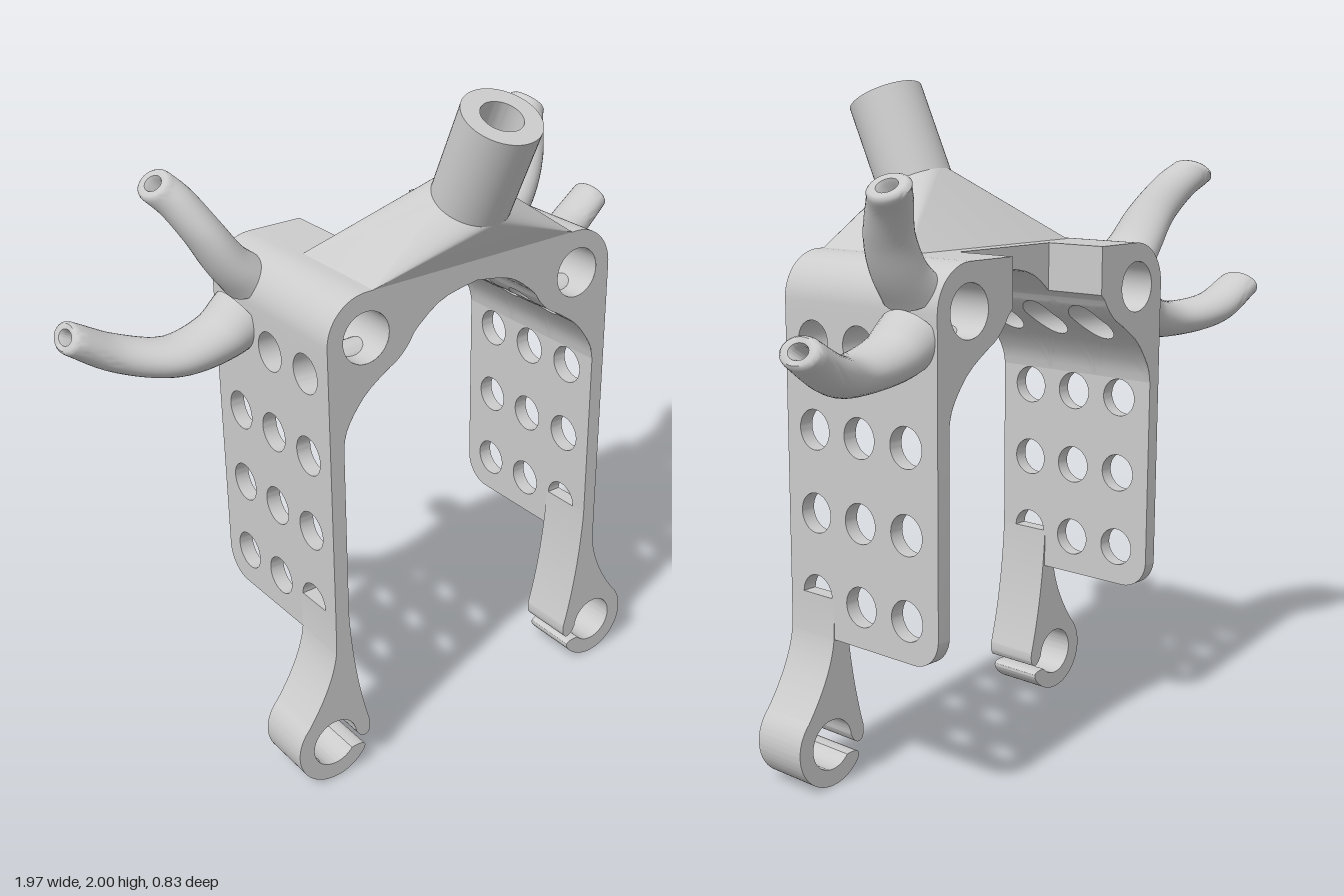
import * as THREE from 'three';
import { toCreasedNormals } from 'three/addons/utils/BufferGeometryUtils.js';

const V = (x, y, z) => new THREE.Vector3(x, y, z);
const V2 = (x, y) => new THREE.Vector2(x, y);
const FRONT = 0.22, BACK = -0.355, NOTCH = -0.16, NOTCH_X = 0.2, TOP = 1.53;
const BAND_LOW = 1.1, BAND_HIGH = 1.36;

// Underside of the arch, from the plate's inner face up to the crown
const inner = new THREE.SplineCurve([
  [0.455, 1.1], [0.44, 1.155], [0.386, 1.23], [0.32, 1.28], [0.27, 1.31],
  [0.235, 1.345], [0.205, 1.385], [0.12, 1.445], [0, 1.47],
].map(p => V2(...p))).getPoints(64);

function lookup(value, key, out) {
  for (let i = 1; i < inner.length; i++) {
    const a = inner[i - 1], b = inner[i];
    if ((a[key] - value) * (b[key] - value) <= 0 && a[key] !== b[key]) {
      return a[out] + (b[out] - a[out]) * (value - a[key]) / (b[key] - a[key]);
    }
  }
  return inner[inner.length - 1][out];
}
const xIn = y => lookup(y, 'y', 'x');
const yIn = x => lookup(Math.abs(x), 'x', 'y');

// Surface through rows of equally many points
function loft(rows) {
  const n = rows[0].length, index = [];
  for (let r = 0; r < rows.length - 1; r++) {
    for (let i = 0; i < n - 1; i++) {
      const a = r * n + i, b = a + n;
      index.push(a, a + 1, b + 1, a, b + 1, b);
    }
  }
  const geo = new THREE.BufferGeometry().setFromPoints(rows.flat());
  geo.setIndex(index);
  return geo;
}

// Rows of a rectangle (u, v) with a round hole, from the hole's rim outward
function holedRows(u0, u1, v0, v1, cu, cv, r, f, n = 12, steps = 6) {
  const corners = [[u0, v0], [u1, v0], [u1, v1], [u0, v1], [u0, v0]], edge = [];
  for (let s = 0; s < 4; s++) {
    for (let i = 0; i < n; i++) {
      const t = i / n, a = corners[s], b = corners[s + 1];
      edge.push([a[0] + (b[0] - a[0]) * t, a[1] + (b[1] - a[1]) * t]);
    }
  }
  edge.push(edge[0]);
  return Array.from({ length: steps + 1 }, (_, k) => edge.map(([u, v]) => {
    const ang = Math.atan2(v - cv, u - cu), t = k / steps;
    return f((cu + r * Math.cos(ang)) * (1 - t) + u * t, (cv + r * Math.sin(ang)) * (1 - t) + v * t);
  }));
}

const wall = (pts, z0, z1) => loft([pts.map(p => V(p.x, p.y, z0)), pts.map(p => V(p.x, p.y, z1))]);

function mirrored(source) {
  const geo = source.index ? source.toNonIndexed() : source.clone();
  geo.scale(-1, 1, 1);
  const p = geo.attributes.position, a = V(0, 0, 0), b = V(0, 0, 0);
  for (let i = 0; i < p.count; i += 3) {
    a.fromBufferAttribute(p, i + 1);
    b.fromBufferAttribute(p, i + 2);
    p.setXYZ(i + 1, b.x, b.y, b.z);
    p.setXYZ(i + 2, a.x, a.y, a.z);
  }
  return geo;
}

function circleHole(shape, x, y, r) {
  const hole = new THREE.Path();
  hole.absarc(x, y, r, 0, Math.PI * 2, true);
  shape.holes.push(hole);
}

// Tapering oval arm with a socket in its tip; each point is [x, y, z, half thickness, half width]
function hook(points) {
  const path = new THREE.CatmullRomCurve3(points.map(p => V(p[0], p[1], p[2])));
  const size = new THREE.CatmullRomCurve3(points.map(p => V(p[3], p[4], 0)));
  const section = (t, scale, shift) => {
    const c = path.getPoint(t), s = size.getPoint(t), d = path.getTangent(t);
    const l = Math.hypot(d.x, d.y), tx = d.x / l, ty = d.y / l;
    return Array.from({ length: 33 }, (_, i) => {
      const a = i / 32 * Math.PI * 2, p = s.x * scale * Math.cos(a), q = s.y * scale * Math.sin(a);
      return V(c.x - ty * p + tx * shift, c.y + tx * p + ty * shift, c.z + q);
    });
  };
  const rows = Array.from({ length: 25 }, (_, i) => section(i / 24, 1, 0));
  rows.push(section(1, 0.95, 0.008), section(1, 0.82, 0.014), section(1, 0.5, 0.012),
    section(1, 0.4, 0), section(1, 0.38, -0.07), section(1, 0, -0.08));
  return loft(rows);
}

export function createModel() {
  const group = new THREE.Group();
  const material = new THREE.MeshStandardMaterial({ color: 0xcccccc, side: THREE.DoubleSide });
  const add = (name, geo, crease = 0.6) => {
    const mesh = new THREE.Mesh(toCreasedNormals(geo, crease), material);
    mesh.name = name;
    group.add(mesh);
  };
  const pair = (name, geo, crease) => {
    add(name + 'Left', geo, crease);
    add(name + 'Right', mirrored(geo), crease);
  };

  // Front and back faces of the arch, with the shoulder bores
  const archFace = (x0, z) => {
    const s = new THREE.Shape();
    s.moveTo(x0, TOP);
    s.lineTo(0.37, TOP);
    s.absarc(0.37, 1.4, 0.13, Math.PI / 2, 0, true);
    inner.filter(p => p.x > x0).forEach((p, i) => (i || s.lineTo(0.5, BAND_LOW), s.lineTo(p.x, p.y)));
    s.lineTo(x0, yIn(x0));
    circleHole(s, 0.375, 1.4, 0.075);
    return new THREE.ShapeGeometry(s, 24).translate(0, 0, z);
  };
  pair('archFront', archFace(0, FRONT));
  pair('archBack', archFace(NOTCH_X, BACK).scale(1, 1, 1));
  const notch = new THREE.Shape([V2(0, TOP), V2(NOTCH_X, TOP), V2(NOTCH_X, yIn(NOTCH_X)),
    ...inner.filter(p => p.x < NOTCH_X)]);
  pair('notchBack', new THREE.ShapeGeometry(notch).translate(0, 0, NOTCH));
  pair('notchSide', wall([V2(NOTCH_X, TOP), V2(NOTCH_X, yIn(NOTCH_X))], NOTCH, BACK));
  add('crownTop', wall([V2(-NOTCH_X, TOP), V2(NOTCH_X, TOP)], NOTCH, -0.11));

  // Shoulder outside, inside and bore
  const arc = Array.from({ length: 17 }, (_, i) => {
    const a = i / 16 * Math.PI / 2;
    return V2(0.37 + 0.13 * Math.cos(a), 1.4 + 0.13 * Math.sin(a));
  });
  pair('shoulderOuter', wall([V2(0.5, BAND_HIGH), ...arc, V2(NOTCH_X, TOP)], FRONT, BACK));
  pair('shoulderInner', wall([V2(xIn(BAND_HIGH), BAND_HIGH),
    ...inner.filter(p => p.y > BAND_HIGH && p.x > NOTCH_X), V2(NOTCH_X, yIn(NOTCH_X))], FRONT, BACK));
  const bore = new THREE.CylinderGeometry(0.075, 0.075, FRONT - BACK, 40, 1, true);
  pair('shoulderBore', bore.rotateX(Math.PI / 2).translate(0.375, 1.4, (FRONT + BACK) / 2));

  // Top row of side holes, running through the curved shoulder
  const cells = [FRONT, 0.0225, -0.1525, BACK], holeZ = [0.11, -0.065, -0.24];
  holeZ.forEach((z, i) => {
    const rows = f => holedRows(cells[i + 1], cells[i], BAND_LOW, BAND_HIGH, z, 1.29, 0.058, f);
    const outside = rows((u, v) => V(0.5, v, u)), inside = rows((u, v) => V(xIn(v), v, u));
    pair('shoulderSkinOuter' + i, loft(outside));
    pair('shoulderSkinInner' + i, loft(inside));
    pair('shoulderHole' + i, loft([outside[0], inside[0]]));
  });

  // Perforated side plates
  const plate = new THREE.Shape();
  plate.moveTo(-FRONT, BAND_LOW);
  plate.lineTo(-FRONT, 0.44);
  plate.lineTo(-BACK - 0.09, 0.44);
  plate.absarc(-BACK - 0.09, 0.53, 0.09, -Math.PI / 2, 0, false);
  plate.lineTo(-BACK, BAND_LOW);
  for (const y of [0.56, 0.8, 1.04]) for (const z of holeZ) circleHole(plate, -z, y, 0.058);
  const plateGeo = new THREE.ExtrudeGeometry(plate, { depth: 0.045, bevelEnabled: false, curveSegments: 20 });
  pair('sidePlate', plateGeo.rotateY(Math.PI / 2).translate(0.455, 0, 0));

  // Legs ending in open clip rings
  const cx = 0.515, cy = 0.127, deg = Math.PI / 180;
  const leg = new THREE.Shape();
  leg.moveTo(0.455, 0.56);
  leg.lineTo(0.5, 0.56);
  leg.lineTo(0.501, 0.45);
  leg.bezierCurveTo(0.508, 0.37, 0.55, 0.29, cx + 0.126 * Math.cos(45 * deg), cy + 0.126 * Math.sin(45 * deg));
  leg.absarc(cx, cy, 0.126, 45 * deg, -140 * deg, true);
  leg.quadraticCurveTo(0.4, 0.07, 0.418, 0.077);
  leg.quadraticCurveTo(0.432, 0.082, cx + 0.075 * Math.cos(-140 * deg), cy + 0.075 * Math.sin(-140 * deg));
  leg.absarc(cx, cy, 0.075, -140 * deg, 175 * deg, false);
  leg.quadraticCurveTo(0.425, 0.1, 0.405, 0.104);
  leg.quadraticCurveTo(0.386, 0.11, 0.39, 0.15);
  leg.bezierCurveTo(0.41, 0.22, 0.445, 0.36, 0.455, 0.56);
  const legGeo = new THREE.ExtrudeGeometry(leg, { depth: 0.175, bevelEnabled: false, curveSegments: 32 });
  pair('clipLeg', legGeo.translate(0, 0, 0.045));

  // Tilted hollow stem, its bore opening under the crown
  const ring = (t, r) => Array.from({ length: 49 }, (_, i) => {
    const a = i / 48 * Math.PI * 2, s = r * Math.sin(a);
    return V(r * Math.cos(a), 1.95 - 0.9 * t - 0.43 * s, 0.31 - 0.43 * t + 0.9 * s);
  });
  const under = holedRows(-NOTCH_X, NOTCH_X, NOTCH, FRONT, 0, 0.08, 0.062, (u, v) => V(u, yIn(u), v));
  const exit = Array.from({ length: 49 }, (_, i) => {
    const a = i / 48 * Math.PI * 2, x = 0.062 * Math.cos(a);
    return V(x, yIn(x), 0.08 + 0.062 * Math.sin(a));
  });
  add('crownUnderside', loft(under));
  add('stem', loft([exit, ring(0, 0.06), ring(0, 0.113), ring(0.28, 0.113)]));

  // Hopper blending the stem's foot into a rectangle on the crown
  const foot = ring(0.28, 0.113), upper = [], lower = [];
  [[0.35, FRONT], [-0.35, FRONT], [-0.35, -0.11], [0.35, -0.11]].forEach(([x, z], q) => {
    for (let i = 0; i <= 12; i++) {
      upper.push(foot[q * 12 + i]);
      lower.push(V(x, TOP, z));
    }
  });
  upper.push(upper[0]);
  lower.push(lower[0]);
  add('stemHopper', loft([upper, lower]), 0.35);

  // Pairs of curved hooks on the shoulders
  pair('upperHook', hook([
    [0.465, 1.45, -0.235, 0.07, 0.1], [0.52, 1.51, -0.24, 0.06, 0.09], [0.575, 1.6, -0.26, 0.054, 0.08],
    [0.625, 1.685, -0.31, 0.052, 0.075], [0.66, 1.725, -0.345, 0.051, 0.07]]), 0.9);
  pair('lowerHook', hook([
    [0.48, 1.335, -0.245, 0.085, 0.105], [0.56, 1.29, -0.245, 0.068, 0.095], [0.7, 1.264, -0.255, 0.055, 0.085],
    [0.84, 1.29, -0.32, 0.052, 0.075], [0.957, 1.357, -0.345, 0.045, 0.07]]), 0.9);

  return group;
}
